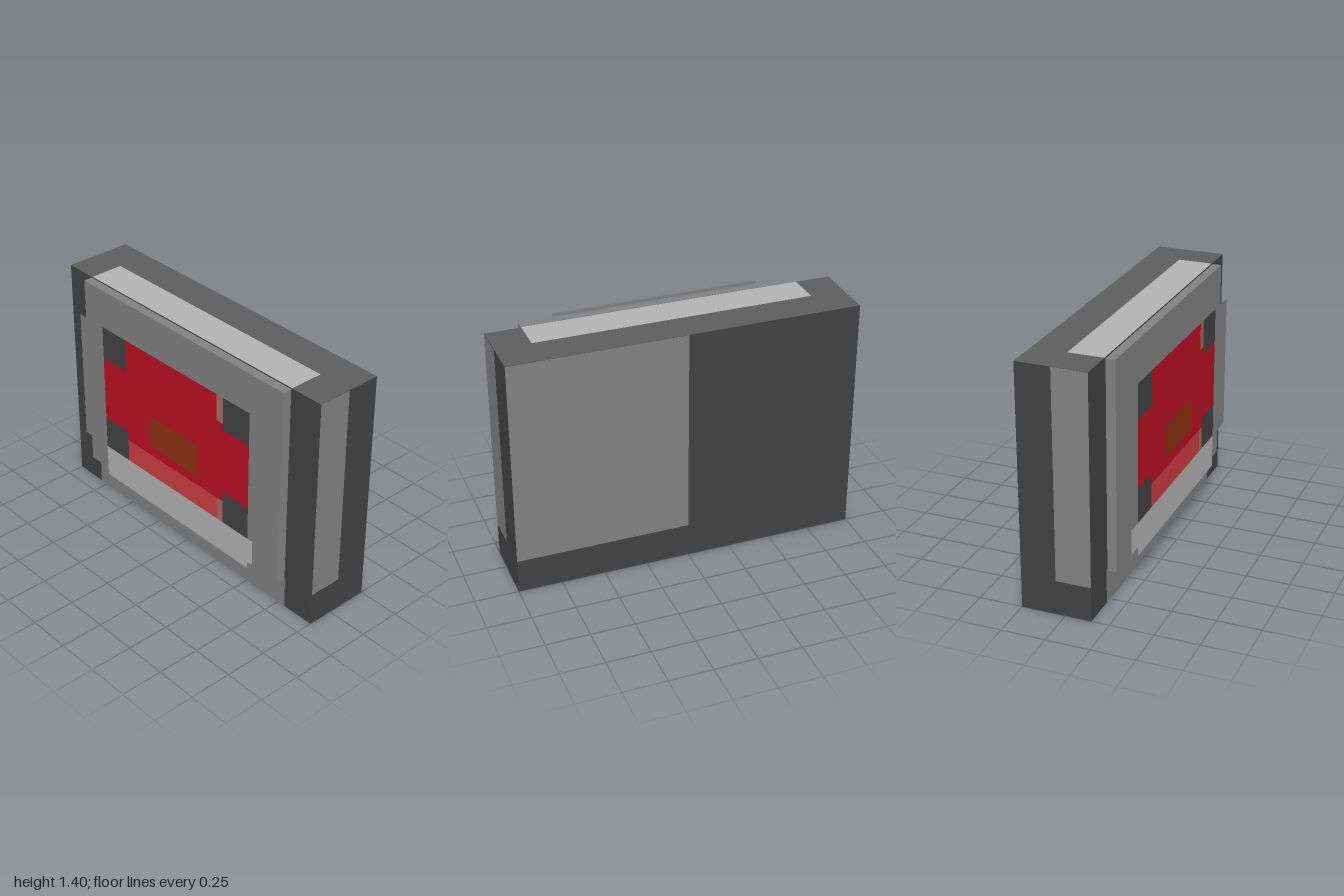
import * as THREE from 'three';

const mat = (name, color, side = THREE.FrontSide) => {
  const m = new THREE.MeshStandardMaterial({ color, side });
  m.name = name;
  return m;
};

export function createModel() {
  const D = THREE.DoubleSide;
  const dark = mat('charcoal', 0x424242, D);
  const topDark = mat('slate', 0x5d5d5d, D);
  const grey = mat('grey', 0x818181, D);
  const light = mat('lightGrey', 0xb2b2b2, D);
  const red = mat('red', 0xb81022, D);
  const brown = mat('brown', 0x8a2f10, D);
  const pink = mat('paleRed', 0xca3d42, D);
  const dusty = mat('dustyPink', 0xa86a66, D);
  const green = mat('green', 0x8cc951);

  const model = new THREE.Group();
  model.name = 'wallPanel';

  const add = (name, geometry, material, x, y, z) => {
    const mesh = new THREE.Mesh(geometry, material);
    mesh.name = name;
    mesh.position.set(x, y, z);
    model.add(mesh);
    return mesh;
  };
  const box = (name, m, x0, x1, y0, y1, z0, z1) =>
    add(name, new THREE.BoxGeometry(x1 - x0, y1 - y0, z1 - z0), m,
      (x0 + x1) / 2, (y0 + y1) / 2, (z0 + z1) / 2);
  // flat sheet facing +z
  const sheet = (name, m, x0, x1, y0, y1, z) =>
    add(name, new THREE.PlaneGeometry(x1 - x0, y1 - y0), m, (x0 + x1) / 2, (y0 + y1) / 2, z);

  // main block, with a paler top face
  box('body', [dark, dark, topDark, dark, dark, dark], -1, 1, 0, 1.4, -0.25, 0.15);

  // painted areas on the block
  const e = 0.002;
  add('topInset', new THREE.PlaneGeometry(1.6, 0.2), light, 0, 1.4 + e, 0.05).rotation.x = -Math.PI / 2;
  for (const s of [-1, 1]) {
    add('sideInset', new THREE.PlaneGeometry(0.2, 1.2), grey, s * (1 + e), 0.8, 0.05).rotation.y = s * Math.PI / 2;
  }
  add('backInset', new THREE.PlaneGeometry(1, 1.2), grey, 0.5, 0.8, -0.25 - e).rotation.y = Math.PI;
  sheet('lowerFrontBand', grey, -0.8, 0.8, 0, 0.2, 0.15 + e);

  // raised panel, standing just clear of the block
  box('raisedPanel', grey, -0.8, 0.8, 0.2, 1.4, 0.157, 0.21);
  sheet('panelSill', light, -0.6, 0.6, 0.2, 0.4, 0.21 + e);

  // hidden button behind the face sheets
  box('button', green, -0.2, 0.2, 0.6, 1.0, 0.21, 0.245);

  // open face sheets floating in front of the panel
  const z = 0.249;
  sheet('faceTop', grey, -0.6, 0.6, 1.2, 1.4, z);
  sheet('faceSill', light, -0.6, 0.6, 0.2, 0.4, z);
  for (const s of [-1, 1]) {
    const strip = (name, m, a, b, y0, y1) =>
      sheet(name, m, Math.min(s * a, s * b), Math.max(s * a, s * b), y0, y1, z);
    strip('faceSide', grey, 0.6, 0.8, 0.4, 1.2);
    strip('redArm', red, 0.4, 0.6, 0.6, 1.0);
    strip('lowerCorner', dark, 0.4, 0.6, 0.4, 0.6);
    strip('upperCorner', dark, 0.4, 0.6, 1.0, 1.2);
  }

  // red centre with its pale edges and brown label
  sheet('redCentre', red, -0.4, 0.35, 0.54, 1.2, z);
  sheet('redCentreEdge', red, 0.35, 0.4, 0.54, 1.04, z);
  sheet('upperGlint', dusty, 0.35, 0.4, 1.04, 1.2, z);
  sheet('lowerBand', pink, -0.4, 0.355, 0.4, 0.54, z);
  sheet('lowerGlint', dusty, 0.355, 0.4, 0.4, 0.54, z);
  sheet('label', brown, -0.2, 0.2, 0.6, 0.8, z + 0.001);

  return model;
}
